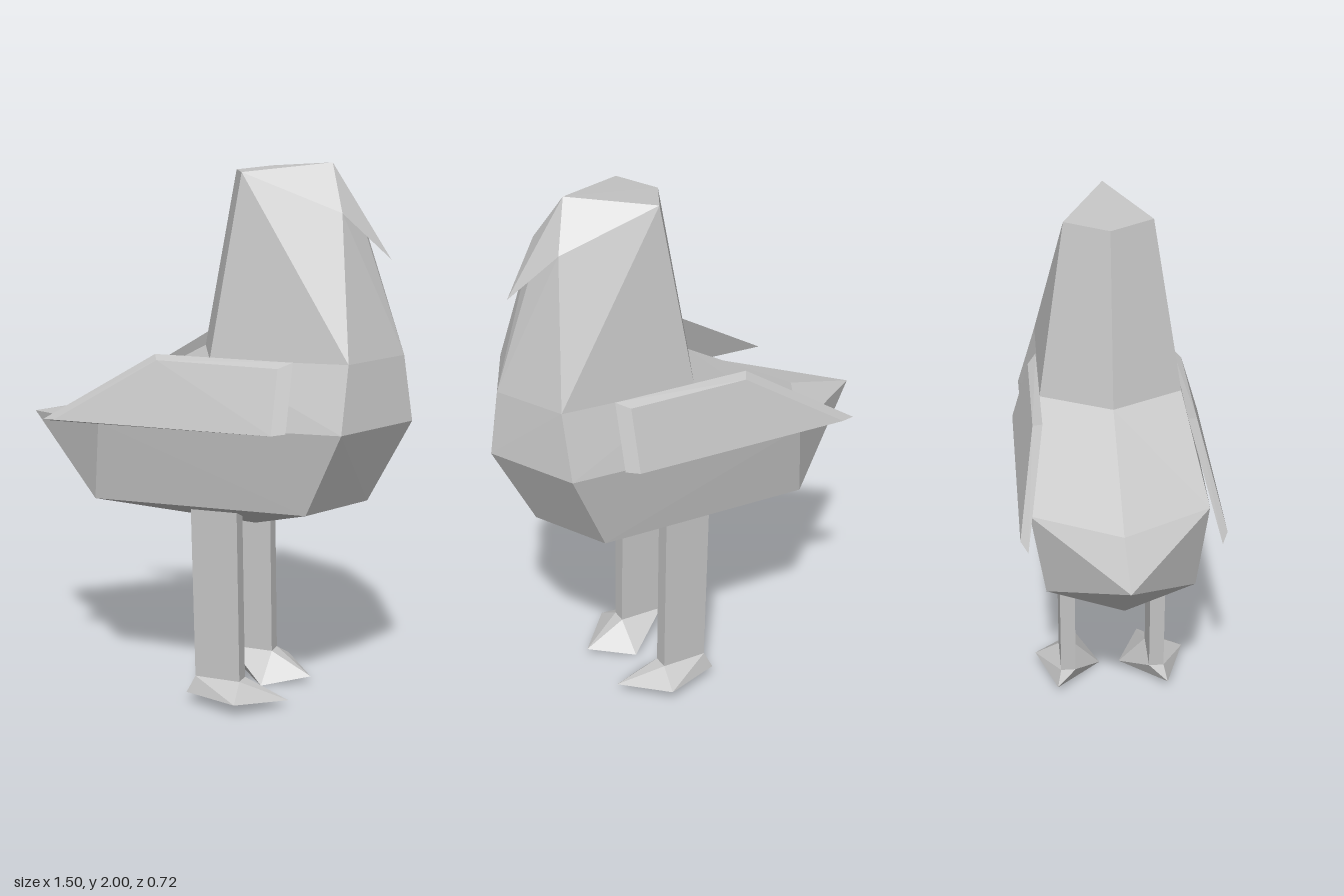
import * as THREE from 'three';
import { ConvexGeometry } from 'three/addons/geometries/ConvexGeometry.js';

const grey = new THREE.MeshStandardMaterial({ color: 0xc4c4c4, flatShading: true, side: THREE.DoubleSide });
grey.name = 'plainGrey';

const mesh = (name, geometry) => {
  const m = new THREE.Mesh(geometry, grey);
  m.name = name;
  return m;
};
const mirrorZ = ([x, y, z]) => [x, y, -z];
const hull = (name, points) => mesh(name, new ConvexGeometry(points.map(p => new THREE.Vector3(...p))));

// Facets of one half, mirrored across z and wound to face away from the centre.
function symmetricShell(name, points, faces, centre) {
  const position = [];
  for (const flip of [false, true]) {
    for (const face of faces) {
      const corners = face.split(' ').map(k => new THREE.Vector3(...(flip ? mirrorZ(points[k]) : points[k])));
      for (let i = 1; i < corners.length - 1; i++) {
        const t = [corners[0], corners[i], corners[i + 1]];
        const normal = new THREE.Triangle(...t).getNormal(new THREE.Vector3());
        if (normal.dot(t[0].clone().sub(centre)) < 0) t.reverse();
        t.forEach(v => position.push(v.x, v.y, v.z));
      }
    }
  }
  const g = new THREE.BufferGeometry();
  g.setAttribute('position', new THREE.Float32BufferAttribute(position, 3));
  g.computeVertexNormals();
  return mesh(name, g);
}

export function createModel() {
  const bird = new THREE.Group();
  bird.name = 'bird';

  // Body, neck and head; the bird looks along +x
  const p = {
    crown: [0.44, 2.0, 0], nape: [0.08, 1.965, 0], headSide: [0.16, 1.97, 0.16],
    cheek: [0.51, 1.835, 0.1], throat: [0.54, 1.83, 0],
    neckBack: [-0.04, 1.32, 0], neckSide: [0.08, 1.32, 0.26],
    breastSide: [0.59, 1.335, 0.255], breast: [0.715, 1.335, 0],
    chestSide: [0.59, 1.1, 0.325], chest: [0.75, 1.1, 0],
    bellySide: [0.45, 0.79, 0.28], belly: [0.59, 0.79, 0], keel: [0.16, 0.66, 0],
    rumpSide: [-0.33, 1.07, 0.32], rump: [-0.49, 1.07, 0], tail: [-0.75, 1.015, 0],
    ventSide: [-0.37, 0.77, 0.27], vent: [-0.51, 0.77, 0],
  };
  bird.add(symmetricShell('body', p, [
    'crown nape headSide', 'crown headSide cheek', 'crown cheek throat',
    'nape neckBack neckSide headSide',
    'headSide neckSide breastSide', 'headSide breastSide cheek',
    'cheek breastSide breast throat',
    'breastSide chestSide chest breast',
    'chestSide bellySide belly chest',
    'neckSide rumpSide chestSide breastSide',
    'rumpSide ventSide bellySide chestSide',
    'neckBack rump rumpSide neckSide',
    'rump tail rumpSide', 'tail ventSide rumpSide', 'tail vent ventSide',
    'keel belly bellySide', 'keel bellySide ventSide', 'keel ventSide vent',
  ], new THREE.Vector3(0.2, 1.05, 0)));

  // Beak hooked down from the crown
  bird.add(hull('beak', [p.crown, p.cheek, mirrorZ(p.cheek), p.throat, [0.66, 1.67, 0]]));

  // Folded wings, legs and feet on both sides
  const wing = [
    [0.39, 1.33, 0.26], [-0.13, 1.325, 0.26], [-0.55, 1.065, 0.335], [0.39, 1.09, 0.33],
    [0.345, 1.31, 0.292], [-0.11, 1.31, 0.295], [-0.49, 1.075, 0.36], [0.345, 1.085, 0.357],
  ];
  const rect = (x0, x1, y) => [[x0, y, 0.205], [x1, y, 0.205], [x1, y, 0.147], [x0, y, 0.147]];
  const ankle = rect(0, 0.175, 0.105);
  const leg = [...rect(-0.017, 0.162, 0.76), ...ankle];
  const foot = [...ankle, [-0.03, 0.042, 0.22], [0.19, 0.05, 0.3], [0.34, 0.03, 0.13], [0.17, 0, 0.04]];
  for (const [side, place] of [['right', q => q], ['left', mirrorZ]]) {
    bird.add(
      hull(side + 'Wing', wing.map(place)),
      hull(side + 'Leg', leg.map(place)),
      hull(side + 'Foot', foot.map(place)),
    );
  }
  return bird;
}
